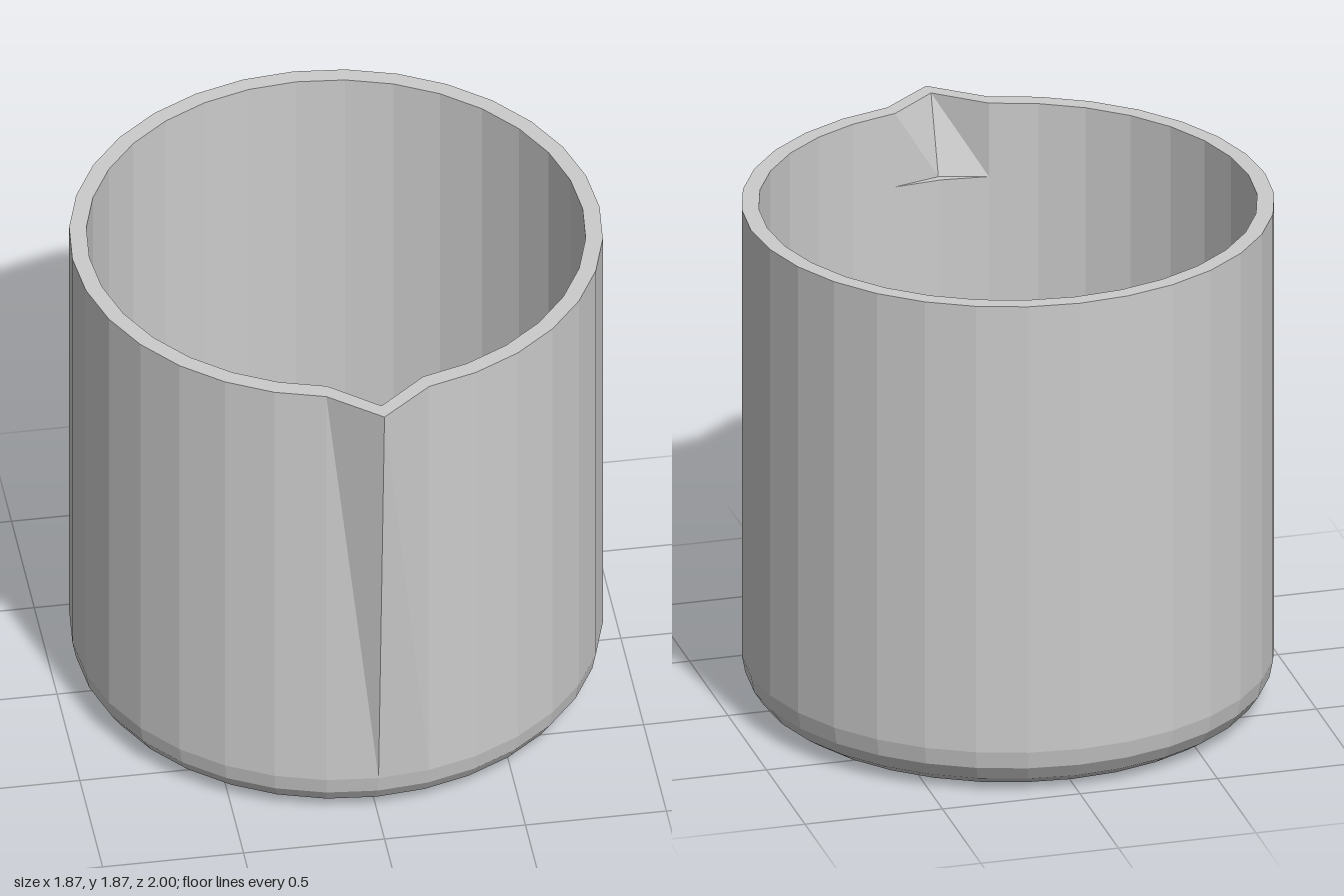
import * as THREE from 'three';

const SIDES = 32, HEIGHT = 1.87, R = 0.935, INNER = 0.875, ROUND = 0.17;
const FLOOR = 0.06, NOTCH = 1.59, AXIS_Z = -0.065;

// One cross-section; the front corner (index 0) can be pulled out to form the spout.
function ring(y, r, spout = r) {
  return Array.from({ length: SIDES }, (_, i) => {
    const a = (i / SIDES) * Math.PI * 2, d = i === 0 ? spout : r;
    return new THREE.Vector3(Math.sin(a) * d, y, Math.cos(a) * d + AXIS_Z);
  });
}

// Faceted skin through successive rings, leaving out empty triangles.
function skin(name, rings, material) {
  const pos = [];
  const add = (a, b, c) => {
    const area = b.clone().sub(a).cross(c.clone().sub(a)).length();
    if (area > 1e-7) for (const p of [a, b, c]) pos.push(p.x, p.y, p.z);
  };
  for (let k = 0; k < rings.length - 1; k++) {
    const lo = rings[k], hi = rings[k + 1];
    for (let i = 0; i < SIDES; i++) {
      const j = (i + 1) % SIDES;
      add(lo[i], lo[j], hi[i]);
      add(lo[j], hi[j], hi[i]);
    }
  }
  const geometry = new THREE.BufferGeometry();
  geometry.setAttribute('position', new THREE.Float32BufferAttribute(pos, 3));
  geometry.computeVertexNormals();
  const mesh = new THREE.Mesh(geometry, material);
  mesh.name = name;
  return mesh;
}

export function createModel() {
  const group = new THREE.Group();
  group.name = 'beaker';
  const material = new THREE.MeshStandardMaterial({ color: 0xcccccc, flatShading: true });

  // Rounded bottom edge
  const base = [ring(0, 0)];
  for (let k = 0; k <= 4; k++) {
    const a = (k / 4) * Math.PI / 2;
    base.push(ring(ROUND * (1 - Math.cos(a)), R - ROUND + ROUND * Math.sin(a)));
  }

  // The outer spout crease leans out over the full wall height
  const outerTop = ring(HEIGHT, R, 1.065);
  const innerTop = ring(HEIGHT, INNER, 1.0);

  // The inner spout is a short notch ending on a small ledge
  const ledgeOuter = ring(NOTCH, INNER, 0.905);
  const ledgeInner = ring(NOTCH, INNER);
  const floorEdge = ring(FLOOR, INNER);

  group.add(
    skin('base', base, material),
    skin('outerWall', [base[base.length - 1], outerTop], material),
    skin('rim', [outerTop, innerTop], material),
    skin('innerWall', [innerTop, ledgeOuter, ledgeInner, floorEdge], material),
    skin('floor', [floorEdge, ring(FLOOR, 0)], material),
  );
  return group;
}
